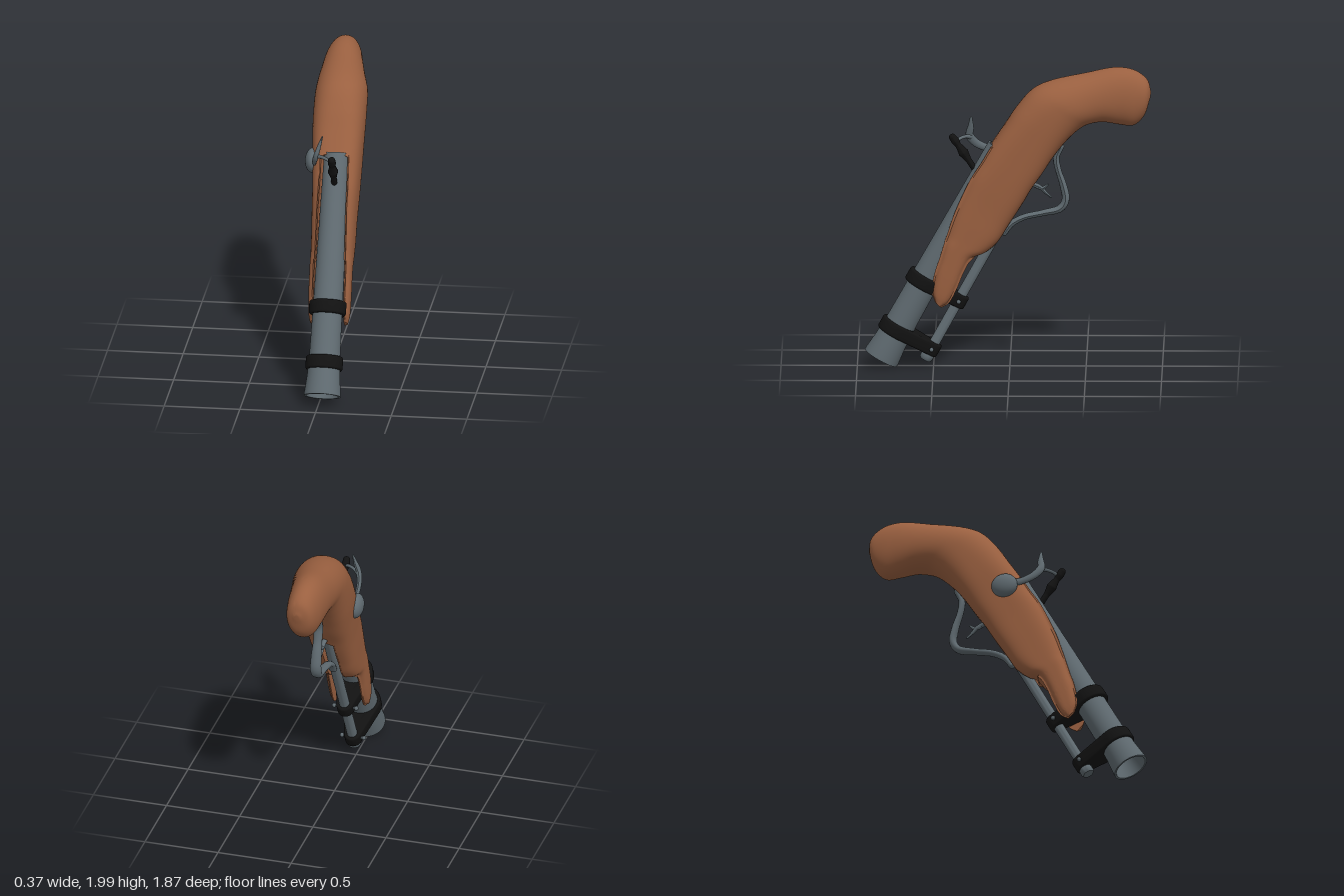
import * as THREE from 'three';
import { mergeGeometries, toCreasedNormals } from 'three/addons/utils/BufferGeometryUtils.js';

const mat = (color) => new THREE.MeshStandardMaterial({ color });
const wood = mat(0x9a6040), steel = mat(0x5f6a70), black = mat(0x121212);
wood.side = THREE.DoubleSide;

// Barrel frame: origin at the muzzle, local y along the barrel, local z out of its top
const TILT = -0.506, MUZZLE = new THREE.Vector3(0.025, 0.065, 0.845);
const ROD_H = -0.258;

function add(parent, name, geometry, material) {
  const mesh = new THREE.Mesh(geometry, material);
  mesh.name = name;
  parent.add(mesh);
  return mesh;
}

// Tube whose radius follows a list of values along its length, with round ends
function taperedTube(points, radii, flat = 1) {
  const curve = new THREE.CatmullRomCurve3(points.map((p) => new THREE.Vector3(...p)));
  const n = 40, sides = 12;
  const geo = new THREE.TubeGeometry(curve, n, 1, sides);
  const pos = geo.attributes.position, v = new THREE.Vector3();
  const radiusAt = (u) => {
    const f = u * (radii.length - 1), i = Math.min(Math.floor(f), radii.length - 2);
    return THREE.MathUtils.lerp(radii[i], radii[i + 1], f - i);
  };
  for (let i = 0; i <= n; i++) {
    const c = curve.getPointAt(i / n), r = radiusAt(i / n);
    for (let j = 0; j <= sides; j++) {
      const k = i * (sides + 1) + j;
      v.fromBufferAttribute(pos, k).sub(c).multiplyScalar(r);
      v.x *= flat;
      pos.setXYZ(k, c.x + v.x, c.y + v.y, c.z + v.z);
    }
  }
  geo.computeVertexNormals();
  const ends = [0, 1].map((u) => {
    const c = curve.getPointAt(u), r = radiusAt(u);
    return new THREE.SphereGeometry(r, 12, 8).scale(flat, 1, 1).translate(c.x, c.y, c.z);
  });
  return mergeGeometries([geo, ...ends]);
}

// Stock stations from fore-end to butt: top z, y, bottom z, y, half width, centre x
const STATIONS = [
  [0.49, 0.46, 0.45, 0.42, 0.125, 0.022], [0.51, 0.53, 0.40, 0.45, 0.135, 0.022],
  [0.49, 0.66, 0.345, 0.55, 0.14, 0.022], [0.46, 0.75, 0.30, 0.66, 0.14, 0.022],
  [0.43, 0.85, 0.25, 0.74, 0.14, 0.022], [0.41, 0.91, 0.16, 0.78, 0.14, 0.022],
  [0.37, 1.03, 0.08, 0.85, 0.142, 0.022], [0.31, 1.17, 0.01, 0.96, 0.145, 0.02],
  [0.25, 1.29, -0.08, 1.10, 0.15, 0.02], [0.19, 1.38, -0.14, 1.20, 0.155, 0.018],
  [0.13, 1.48, -0.21, 1.30, 0.16, 0.015], [0.03, 1.63, -0.29, 1.42, 0.168, 0.01],
  [-0.05, 1.75, -0.38, 1.53, 0.172, 0.008], [-0.15, 1.86, -0.46, 1.60, 0.172, 0.006],
  [-0.25, 1.91, -0.52, 1.63, 0.168, 0.003], [-0.5, 1.965, -0.61, 1.64, 0.145, -0.013],
];
const BUTT = [
  [-0.7, 2.0, -0.72, 1.62, 0.125, -0.025], [-0.82, 1.98, -0.81, 1.615, 0.108, -0.025],
  [-0.9, 1.92, -0.88, 1.68, 0.08, -0.02], [-0.925, 1.84, -0.92, 1.80, 0.02, -0.015],
];

// Half width of the hollow cut for the barrel and the ramrod
function channel(z, y) {
  const dz = z - MUZZLE.z, dy = y - MUZZLE.y, s = Math.sin(TILT), c = Math.cos(TILT);
  const t = dy * c + dz * s, h = dz * c - dy * s, r = 0.103 - 0.01 * t;
  let g = 0;
  if (t < 1.61 && h > -r) g = h > 0 ? r : Math.sqrt(r * r - h * h);
  if (t < 0.9) g = Math.max(g, 0.1);
  if (t < 1.45 && h < -0.21) g = Math.max(g, 0.045);
  return g;
}

function stockHalf(side) {
  const all = [...STATIONS, ...BUTT];
  const top = new THREE.CatmullRomCurve3(all.map((s) => new THREE.Vector3(s[4], s[1], s[0])));
  const bottom = new THREE.CatmullRomCurve3(all.map((s) => new THREE.Vector3(s[5], s[3], s[2])));
  const rows = 114, n = 28, ring = 2 * (n + 1);
  const pos = [], index = [];
  const tri = (a, b, c) => (side > 0 ? index.push(a, b, c) : index.push(a, c, b));
  for (let i = 0; i <= rows; i++) {
    const u = i / rows, T = top.getPoint(u), B = bottom.getPoint(u);
    const k = THREE.MathUtils.lerp(3.4, 2.1, THREE.MathUtils.smoothstep(u, 0.45, 0.75));
    const outer = [], inner = [];
    for (let j = 0; j <= n; j++) {
      const h = Math.cos((j / n) * Math.PI);
      const y = THREE.MathUtils.lerp(B.y, T.y, (h + 1) / 2);
      const z = THREE.MathUtils.lerp(B.z, T.z, (h + 1) / 2);
      const g = channel(z, y);
      const x = T.x * Math.pow(Math.max(0, 1 - Math.pow(Math.abs(h), k)), 1 / k);
      outer.push([B.x + side * Math.max(x, g > 0 ? g + 0.008 : 0), y, z]);
      inner.unshift([B.x + side * g, y, z]);
    }
    pos.push(...outer.flat(), ...inner.flat());
  }
  for (let i = 0; i < rows; i++) {
    for (let j = 0; j < ring; j++) {
      const a = i * ring + j, b = i * ring + ((j + 1) % ring);
      tri(a, b, b + ring);
      tri(a, b + ring, a + ring);
    }
  }
  // End caps
  const last = rows * ring;
  for (let j = 1; j < ring - 1; j++) {
    tri(0, j + 1, j);
    tri(last, last + j, last + j + 1);
  }
  const geo = new THREE.BufferGeometry();
  geo.setAttribute('position', new THREE.Float32BufferAttribute(pos, 3));
  geo.setIndex(index);
  return geo;
}

// Band that holds barrel and ramrod together
function bandGeometry() {
  const R = 0.112, r = 0.045, a = Math.asin((R - r) / -ROD_H), depth = 0.06;
  const shape = new THREE.Shape();
  shape.absarc(0, 0, R, -a, Math.PI + a, false);
  shape.absarc(0, ROD_H, r, Math.PI + a, 2 * Math.PI - a, false);
  shape.closePath();
  shape.holes.push(new THREE.Path().absarc(0, 0, 0.088, 0, Math.PI * 2, true));
  const geo = new THREE.ExtrudeGeometry(shape, {
    depth, curveSegments: 24, bevelThickness: 0.014, bevelSize: 0.01, bevelSegments: 3,
  });
  return toCreasedNormals(geo.translate(0, 0, -depth / 2).rotateX(Math.PI / 2), 0.7);
}

export function createModel() {
  const model = new THREE.Group();
  model.name = 'flintlockPistol';

  add(model, 'stock', toCreasedNormals(mergeGeometries([stockHalf(1), stockHalf(-1)]), 0.8), wood);

  // Barrel, ramrod and bands, built upright in the barrel frame
  const front = new THREE.Group();
  front.name = 'barrelAssembly';
  front.position.copy(MUZZLE);
  front.rotation.x = TILT;
  model.add(front);

  const lathe = (pts) => toCreasedNormals(
    new THREE.LatheGeometry(pts.map((p) => new THREE.Vector2(...p)), 32), 0.6);
  add(front, 'barrel', lathe([[0, 0.5], [0.075, 0.5], [0.085, 0.12], [0.106, 0], [0.12, 0],
    [0.12, 0.02], [0.108, 0.14], [0.101, 0.3], [0.085, 1.61], [0.072, 1.61], [0.065, 1.5], [0, 1.5]]), steel);
  const rod = add(front, 'ramrod', lathe([[0, 0.13], [0.036, 0.13], [0.044, 0.145], [0.044, 0.17],
    [0.034, 0.2], [0.034, 1.48], [0, 1.49]]), steel);
  rod.position.z = ROD_H;

  for (const t of [0.22, 0.587]) {
    add(front, 'band', bandGeometry(), black).position.y = t;
    const pin = add(front, 'bandPin', new THREE.CylinderGeometry(0.009, 0.009, 0.15, 10).rotateZ(Math.PI / 2), steel);
    pin.position.set(0, t, ROD_H);
    for (const s of [-1, 1]) {
      const head = add(front, 'pinHead', new THREE.SphereGeometry(0.015, 12, 8), steel);
      head.position.set(s * 0.075, t, ROD_H);
    }
  }

  // Trigger guard with flattened ends
  add(model, 'triggerGuard', taperedTube([[0.02, 1.48, -0.335], [0.02, 1.41, -0.305], [0.02, 1.33, -0.315],
    [0.02, 1.22, -0.35], [0.02, 1.12, -0.365], [0.02, 1.065, -0.33], [0.02, 1.035, -0.22],
    [0.02, 1.005, -0.09], [0.02, 0.96, -0.01], [0.02, 0.9, 0.035]],
  [0.022, 0.021, 0.02, 0.024, 0.026, 0.024, 0.02, 0.02, 0.021, 0.018], 1.5), steel);
  add(model, 'trigger', taperedTube([[0.02, 1.2, -0.07], [0.02, 1.225, -0.14], [0.02, 1.205, -0.2],
    [0.02, 1.17, -0.235], [0.02, 1.14, -0.27]], [0.022, 0.02, 0.015, 0.011, 0.006]), steel);
  add(model, 'triggerSpur', taperedTube([[0.02, 1.21, -0.18], [0.02, 1.2, -0.215], [0.02, 1.225, -0.25]],
    [0.014, 0.012, 0.006]), steel);

  // Lock on the right side: round plate, hammer and its jaw
  const plate = add(model, 'lockPlate', new THREE.SphereGeometry(1, 24, 16), steel);
  plate.scale.set(0.05, 0.082, 0.088);
  plate.position.set(-0.14, 1.41, 0.03);
  add(model, 'hammer', taperedTube([[-0.125, 1.43, 0.06], [-0.115, 1.44, 0.14], [-0.105, 1.475, 0.22],
    [-0.088, 1.53, 0.265], [-0.07, 1.59, 0.258], [-0.05, 1.655, 0.255]],
  [0.026, 0.024, 0.026, 0.028, 0.022, 0.008], 0.6), steel);
  add(model, 'hammerJaw', taperedTube([[-0.09, 1.52, 0.255], [-0.05, 1.53, 0.29], [0.0, 1.525, 0.33],
    [0.028, 1.51, 0.35]], [0.016, 0.012, 0.011, 0.011]), steel);

  // Striking plate standing on the barrel
  add(model, 'frizzen', taperedTube([[0.028, 1.54, 0.375], [0.028, 1.44, 0.305], [0.028, 1.335, 0.235]],
    [0.024, 0.027, 0.02, 0.026, 0.034, 0.026, 0.02, 0.02, 0.02]), black);

  return model;
}
